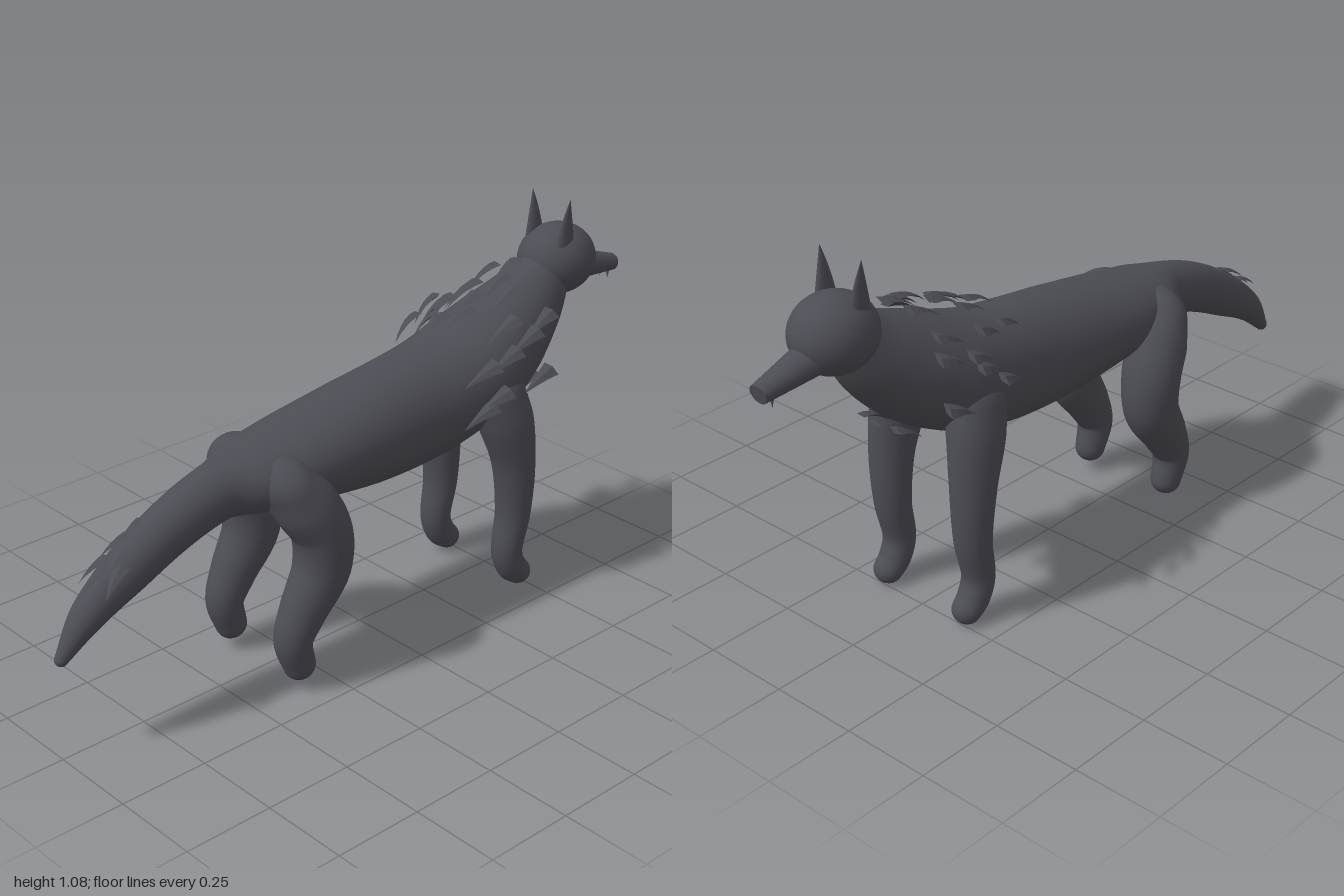
import * as THREE from 'three';

const fur = new THREE.MeshStandardMaterial({ color: 0x4c4c54 });
fur.name = 'charcoal fur';

// Smooth limb swept through stations [x, y, z, halfWidth, halfDepth], with rounded ends
function sweep(stations, steps, sides = 28) {
  const path = new THREE.CatmullRomCurve3(stations.map(s => new THREE.Vector3(s[0], s[1], s[2])));
  const size = new THREE.CatmullRomCurve3(stations.map(s => new THREE.Vector3(s[3], s[4], 0)));
  const X = new THREE.Vector3(1, 0, 0), rings = [];
  const add = (t, angle, dir) => {
    const r = size.getPoint(t), T = path.getTangent(t), k = Math.max(Math.cos(angle), 0.01);
    const c = path.getPoint(t).addScaledVector(T, dir * Math.sin(angle) * Math.min(r.x, r.y));
    rings.push({ c, N: T.cross(X).normalize(), rx: r.x * k, ry: r.y * k });
  };
  for (let i = 6; i > 0; i--) add(0, i * Math.PI / 12, -1);
  for (let i = 0; i <= steps; i++) add(i / steps, 0, 0);
  for (let i = 1; i <= 6; i++) add(1, i * Math.PI / 12, 1);
  const pos = [], index = [];
  rings.forEach((g, i) => {
    for (let j = 0; j < sides; j++) {
      const a = j / sides * Math.PI * 2;
      const p = g.c.clone().addScaledVector(X, g.rx * Math.cos(a)).addScaledVector(g.N, g.ry * Math.sin(a));
      pos.push(p.x, p.y, p.z);
      if (i === rings.length - 1) continue;
      const p0 = i * sides + j, p1 = i * sides + (j + 1) % sides;
      index.push(p0, p1, p1 + sides, p0, p1 + sides, p0 + sides);
    }
  });
  const geo = new THREE.BufferGeometry();
  geo.setAttribute('position', new THREE.Float32BufferAttribute(pos, 3));
  geo.setIndex(index);
  geo.computeVertexNormals();
  return geo;
}

// Curved, faceted tuft of fur: wide root at the origin, tip along +z
function tuftGeometry() {
  const geo = new THREE.ConeGeometry(1, 1, 4, 4).translate(0, 0.5, 0).rotateX(Math.PI / 2);
  const p = geo.attributes.position;
  for (let i = 0; i < p.count; i++) {
    const z = p.getZ(i);
    p.setXYZ(i, p.getX(i) * 0.026, p.getY(i) * 0.009 - 0.035 * z * z, z * 0.11);
  }
  const flat = geo.toNonIndexed();
  flat.computeVertexNormals();
  return flat;
}

export function createModel() {
  const model = new THREE.Group();
  model.name = 'wolf';
  const add = (name, geo, parent = model) => {
    const m = new THREE.Mesh(geo, fur);
    m.name = name;
    parent.add(m);
    return m;
  };

  // Tail, trunk and neck in one flowing form
  add('body', sweep([
    [0, 0.295, 0.983, 0.018, 0.018], [0, 0.385, 0.9, 0.045, 0.045], [0, 0.47, 0.77, 0.06, 0.065],
    [0, 0.545, 0.62, 0.068, 0.073], [0, 0.585, 0.49, 0.075, 0.078], [0, 0.592, 0.4, 0.125, 0.09],
    [0, 0.595, 0.25, 0.15, 0.113], [0, 0.6, 0, 0.155, 0.15], [0, 0.61, -0.15, 0.155, 0.16],
    [0, 0.632, -0.29, 0.165, 0.157], [0, 0.67, -0.41, 0.172, 0.152], [0, 0.73, -0.53, 0.148, 0.14],
    [0, 0.805, -0.64, 0.108, 0.112], [0, 0.87, -0.71, 0.075, 0.08],
  ], 80, 36));

  // Legs
  for (const [side, s] of [['left', 1], ['right', -1]]) {
    add(side + 'HindLeg', sweep([
      [0.1 * s, 0.6, 0.35, 0.085, 0.07], [0.13 * s, 0.53, 0.305, 0.085, 0.085],
      [0.143 * s, 0.45, 0.265, 0.084, 0.08], [0.144 * s, 0.345, 0.265, 0.076, 0.08],
      [0.143 * s, 0.24, 0.328, 0.062, 0.066], [0.142 * s, 0.16, 0.364, 0.052, 0.053],
      [0.142 * s, 0.08, 0.345, 0.043, 0.045],
    ], 36));
    add(side + 'FrontLeg', sweep([
      [0.11 * s, 0.63, -0.4, 0.075, 0.09], [0.135 * s, 0.54, -0.425, 0.07, 0.084],
      [0.146 * s, 0.41, -0.45, 0.062, 0.062], [0.146 * s, 0.25, -0.455, 0.052, 0.049],
      [0.145 * s, 0.13, -0.437, 0.045, 0.044], [0.145 * s, 0.075, -0.457, 0.043, 0.044],
      [0.145 * s, 0.05, -0.482, 0.041, 0.039],
    ], 36));
  }

  // Head, snout, ears and teeth
  const head = new THREE.Group();
  head.name = 'head';
  model.add(head);
  const skull = add('skull', new THREE.SphereGeometry(1, 32, 24), head);
  skull.scale.set(0.107, 0.102, 0.117);
  skull.position.set(0, 0.9, -0.757);
  const snout = add('snout', new THREE.CylinderGeometry(0.029, 0.054, 0.19, 24), head);
  snout.scale.z = 0.86;
  snout.position.set(0, 0.847, -0.903);
  snout.rotation.x = -Math.PI / 2 - 0.2;
  for (const s of [1, -1]) {
    const geo = new THREE.ConeGeometry(1, 0.14, 16, 6).translate(0, 0.07, 0);
    const p = geo.attributes.position;
    for (let i = 0; i < p.count; i++) {
      const t = p.getY(i) / 0.14, swell = 1 + 0.35 * t;
      p.setXYZ(i, p.getX(i) * 0.016 * swell + 0.012 * s * t * t, p.getY(i), p.getZ(i) * 0.034 * swell);
    }
    geo.computeVertexNormals();
    add(s > 0 ? 'leftEar' : 'rightEar', geo, head).position.set(0.059 * s, 0.955, -0.725);
    const tooth = add('tooth', new THREE.ConeGeometry(0.005, 0.025, 8), head);
    tooth.position.set(0.014 * s, 0.8, -0.968);
    tooth.rotation.x = Math.PI;
  }

  // Tufts placed by root position, yaw and size
  const tuft = tuftGeometry();
  const placeTufts = (name, pitch, list) => {
    const g = new THREE.Group();
    g.name = name;
    model.add(g);
    for (const [x, y, z, yaw = 0, size = 1] of list) {
      const m = add('tuft', tuft, g);
      m.position.set(x, y, z);
      m.rotation.set(pitch, yaw, -x * 3, 'YXZ');
      m.scale.setScalar(size);
    }
  };
  placeTufts('mane', 0.15, [
    [-0.005, 0.93, -0.6], [-0.06, 0.91, -0.57, -0.1], [0.02, 0.91, -0.53, 0.1], [0.065, 0.885, -0.52, 0.1],
    [-0.03, 0.895, -0.47, -0.1], [0.01, 0.88, -0.43], [-0.065, 0.86, -0.4, 0.1], [0.035, 0.855, -0.38, -0.1],
    [-0.01, 0.84, -0.32, 0.1],
  ]);
  placeTufts('leftRuff', 0.2, [
    [0.15, 0.825, -0.58, 0.15], [0.175, 0.8, -0.5, 0.1], [0.13, 0.83, -0.46, 0], [0.18, 0.765, -0.42, 0.05],
    [0.175, 0.67, -0.56, 0.1], [0.19, 0.66, -0.38, -0.05], [0.18, 0.745, -0.34, -0.1], [0.185, 0.63, -0.33, 0],
  ]);
  placeTufts('rightRuff', 0.2, [
    [-0.17, 0.815, -0.58, -0.15], [-0.12, 0.845, -0.54, -0.1], [-0.18, 0.79, -0.48, 0], [-0.15, 0.83, -0.42, 0.1],
    [-0.19, 0.755, -0.46, 0], [-0.185, 0.68, -0.57, -0.1], [-0.18, 0.69, -0.37, 0.1], [-0.12, 0.81, -0.32, 0.1],
  ]);
  placeTufts('chestTufts', 0.25, [[0.06, 0.605, -0.62, 0.1, 0.9], [-0.05, 0.6, -0.62, -0.1, 0.9], [0, 0.61, -0.64]]);
  placeTufts('tailTufts', 0.2, [
    [-0.02, 0.575, 0.71, 0, 0.7], [-0.01, 0.555, 0.76, -0.2, 0.8], [0.015, 0.525, 0.79, 0.2, 0.8],
    [-0.02, 0.51, 0.82, -0.1, 0.8], [0.03, 0.5, 0.81, 0.5, 0.9], [0.005, 0.5, 0.83, 0, 0.8],
  ]);
  return model;
}
